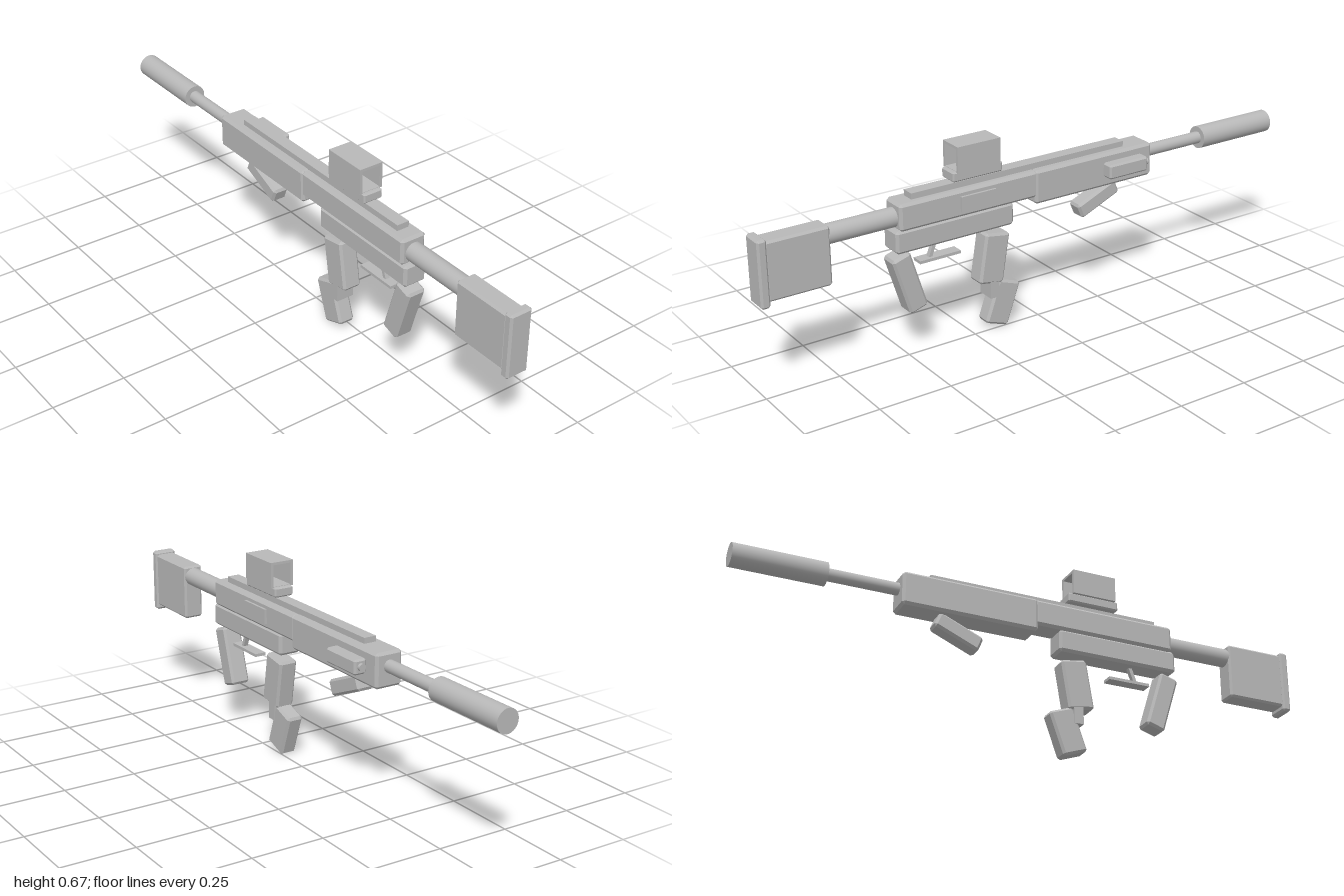
import * as THREE from 'three';
import { ConvexGeometry } from 'three/addons/geometries/ConvexGeometry.js';

const CX = -0.0235; // centre line of the body

const grey = new THREE.MeshStandardMaterial({ color: 0xb8b8b8 });
grey.name = 'grey';

// Box with all edges chamfered by c
function chamferBox(w, h, d, c) {
  const pts = [];
  for (const sx of [-1, 1]) for (const sy of [-1, 1]) for (const sz of [-1, 1]) {
    const x = w / 2, y = h / 2, z = d / 2;
    pts.push(
      new THREE.Vector3(sx * x, sy * (y - c), sz * (z - c)),
      new THREE.Vector3(sx * (x - c), sy * y, sz * (z - c)),
      new THREE.Vector3(sx * (x - c), sy * (y - c), sz * z));
  }
  return new ConvexGeometry(pts);
}

export function createModel() {
  const model = new THREE.Group();
  model.name = 'rifle';

  const add = (name, geometry, x, y, z, tilt = 0) => {
    const mesh = new THREE.Mesh(geometry, grey);
    mesh.name = name;
    mesh.position.set(x, y, z);
    mesh.rotation.x = tilt;
    model.add(mesh);
  };
  // Chamfered block from its y and z limits
  const block = (name, w, y0, y1, z0, z1, c, x = CX) =>
    add(name, chamferBox(w, y1 - y0, z1 - z0, c), x, (y0 + y1) / 2, (z0 + z1) / 2);
  // Plain block without chamfers
  const plain = (name, w, y0, y1, z0, z1, x = CX) =>
    add(name, new THREE.BoxGeometry(w, y1 - y0, z1 - z0), x, (y0 + y1) / 2, (z0 + z1) / 2);
  // Chamfered block tilted about x
  const tilted = (name, w, h, d, y, z, tilt, c = 0.008) =>
    add(name, chamferBox(w, h, d, c), CX, y, z, tilt);
  // Round part lying along z
  const rod = (name, r, y, z0, z1, x = CX) =>
    add(name, new THREE.CylinderGeometry(r, r, z1 - z0, 32).rotateX(Math.PI / 2), x, y, (z0 + z1) / 2);

  // Stock
  block('buttPlate', 0.08, 0.303, 0.525, 0.968, 1.0, 0.007);
  block('stock', 0.07, 0.32, 0.515, 0.76, 0.975, 0.007);
  rod('stockTube', 0.032, 0.476, 0.5, 0.78);

  // Body
  block('upperReceiver', 0.092, 0.437, 0.528, 0.015, 0.527, 0.009);
  block('lowerReceiver', 0.083, 0.362, 0.44, 0.105, 0.54, 0.009);
  block('handguard', 0.098, 0.413, 0.529, -0.45, 0.025, 0.009);
  plain('topRail', 0.044, 0.525, 0.548, -0.347, 0.473);
  plain('ejectionPort', 0.012, 0.457, 0.508, 0.18, 0.31, 0.025);

  // Barrel
  rod('barrel', 0.021, 0.483, -0.72, -0.44);
  rod('suppressor', 0.039, 0.483, -1.0, -0.692);

  // Sight: base, open hood and aiming dot
  block('sightBase', 0.07, 0.553, 0.587, 0.143, 0.328, 0.005);
  const rect = (path, x, y0, y1) => path.moveTo(-x, y0).lineTo(x, y0).lineTo(x, y1).lineTo(-x, y1).closePath();
  const hood = rect(new THREE.Shape(), 0.043, 0.584, 0.671);
  hood.holes.push(rect(new THREE.Path(), 0.033, 0.588, 0.662));
  add('sightHood', new THREE.ExtrudeGeometry(hood, { depth: 0.158, bevelEnabled: false }), CX, 0, 0.157);
  plain('aimingDot', 0.015, 0.615, 0.63, 0.229, 0.244);

  // Side module with its lens
  block('sideModule', 0.044, 0.453, 0.503, -0.4, -0.243, 0.006, 0.048);
  rod('sideLens', 0.012, 0.479, -0.41, -0.39, 0.048);

  // Grips
  tilted('rearGrip', 0.068, 0.206, 0.068, 0.251, 0.49, 0.3);
  tilted('foreGrip', 0.058, 0.055, 0.165, 0.364, -0.246, 0.4);

  // Curved magazine in steps
  tilted('magazineTop', 0.067, 0.174, 0.093, 0.255, 0.174, -0.16);
  plain('magazineJoint', 0.064, 0.116, 0.2, 0.158, 0.192);
  tilted('magazineBottom', 0.058, 0.155, 0.09, 0.0865, 0.14, -0.34);

  // Trigger and guard
  add('trigger', new THREE.BoxGeometry(0.016, 0.07, 0.012), CX, 0.337, 0.392, -0.35);
  plain('triggerGuard', 0.04, 0.302, 0.312, 0.297, 0.447);

  return model;
}
